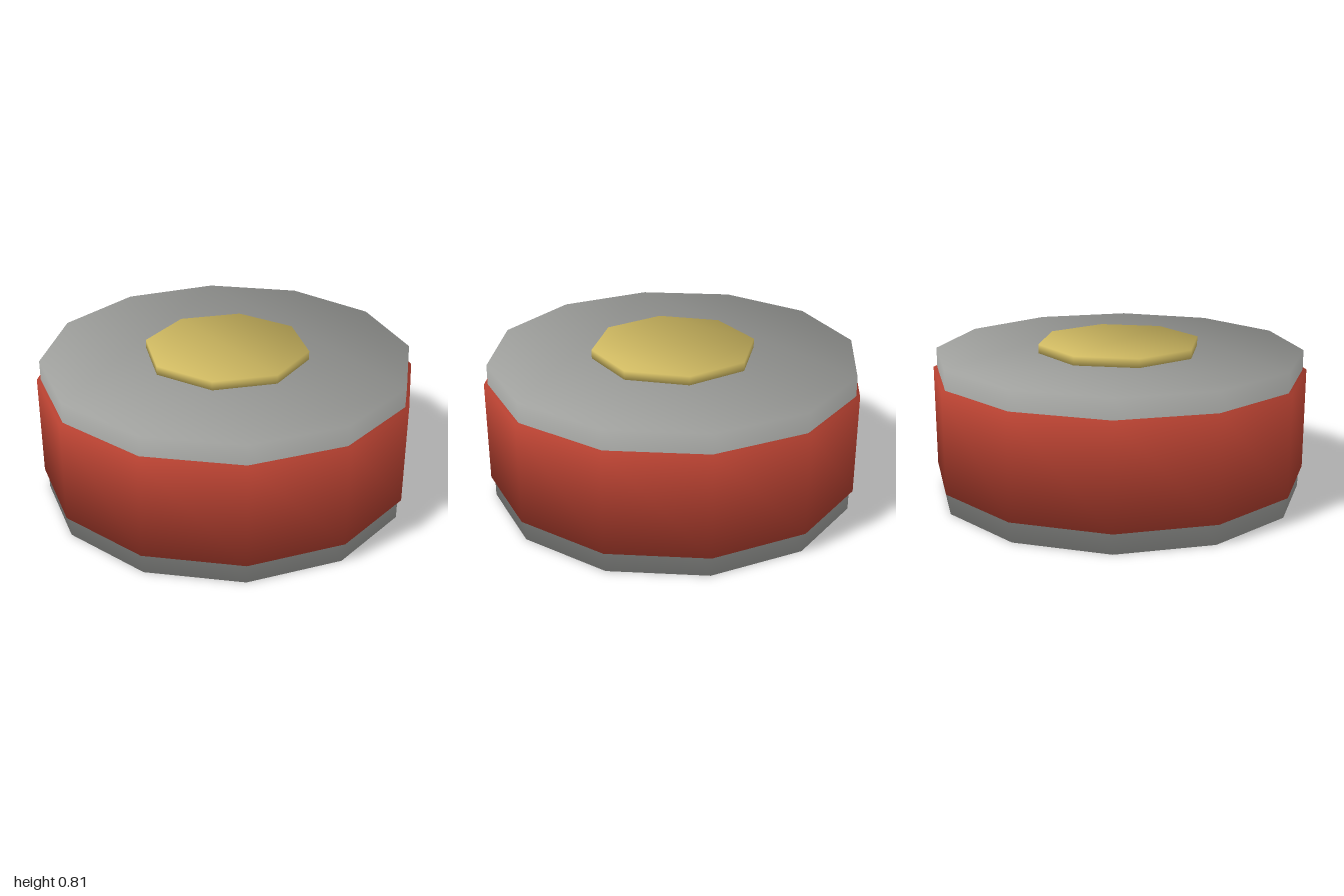
import * as THREE from 'three';
import { mergeVertices } from 'three/addons/utils/BufferGeometryUtils.js';

// Upright prism with soft normals shared between its side and caps
function softPrism(sides, radius, bottom, top) {
  const points = [];
  for (let i = 0; i < sides; i++) {
    const a = (i / sides) * Math.PI * 2;
    points.push(new THREE.Vector2(Math.cos(a) * radius, Math.sin(a) * radius));
  }
  let geometry = new THREE.ExtrudeGeometry(new THREE.Shape(points), { depth: top - bottom, bevelEnabled: false });
  geometry.rotateX(-Math.PI / 2);
  geometry.translate(0, bottom, 0);
  geometry.deleteAttribute('normal');
  geometry.deleteAttribute('uv');
  geometry = mergeVertices(geometry);

  // Corner normals point outward and up or down at 45 degrees
  const position = geometry.attributes.position;
  const normals = new Float32Array(position.count * 3);
  const middle = (bottom + top) / 2;
  const n = new THREE.Vector3();
  for (let i = 0; i < position.count; i++) {
    n.set(position.getX(i) / radius, Math.sign(position.getY(i) - middle), position.getZ(i) / radius);
    n.normalize().toArray(normals, i * 3);
  }
  geometry.setAttribute('normal', new THREE.BufferAttribute(normals, 3));
  return geometry;
}

export function createModel() {
  const group = new THREE.Group();
  group.name = 'roundButton';

  const material = (name, color) => {
    const m = new THREE.MeshStandardMaterial({ color });
    m.name = name;
    return m;
  };
  const add = (name, geometry, mat) => {
    const mesh = new THREE.Mesh(geometry, mat);
    mesh.name = name;
    group.add(mesh);
  };

  // Grey drum, wide red band around it and a small gold disc on top
  add('drum', softPrism(12, 0.98, 0, 0.76), material('grey', 0xa0a19e));
  add('band', softPrism(12, 1, 0.11, 0.655), material('red', 0xb44030));
  add('topDisc', softPrism(8, 0.435, 0.76, 0.807), material('gold', 0xd0ba62));

  return group;
}
